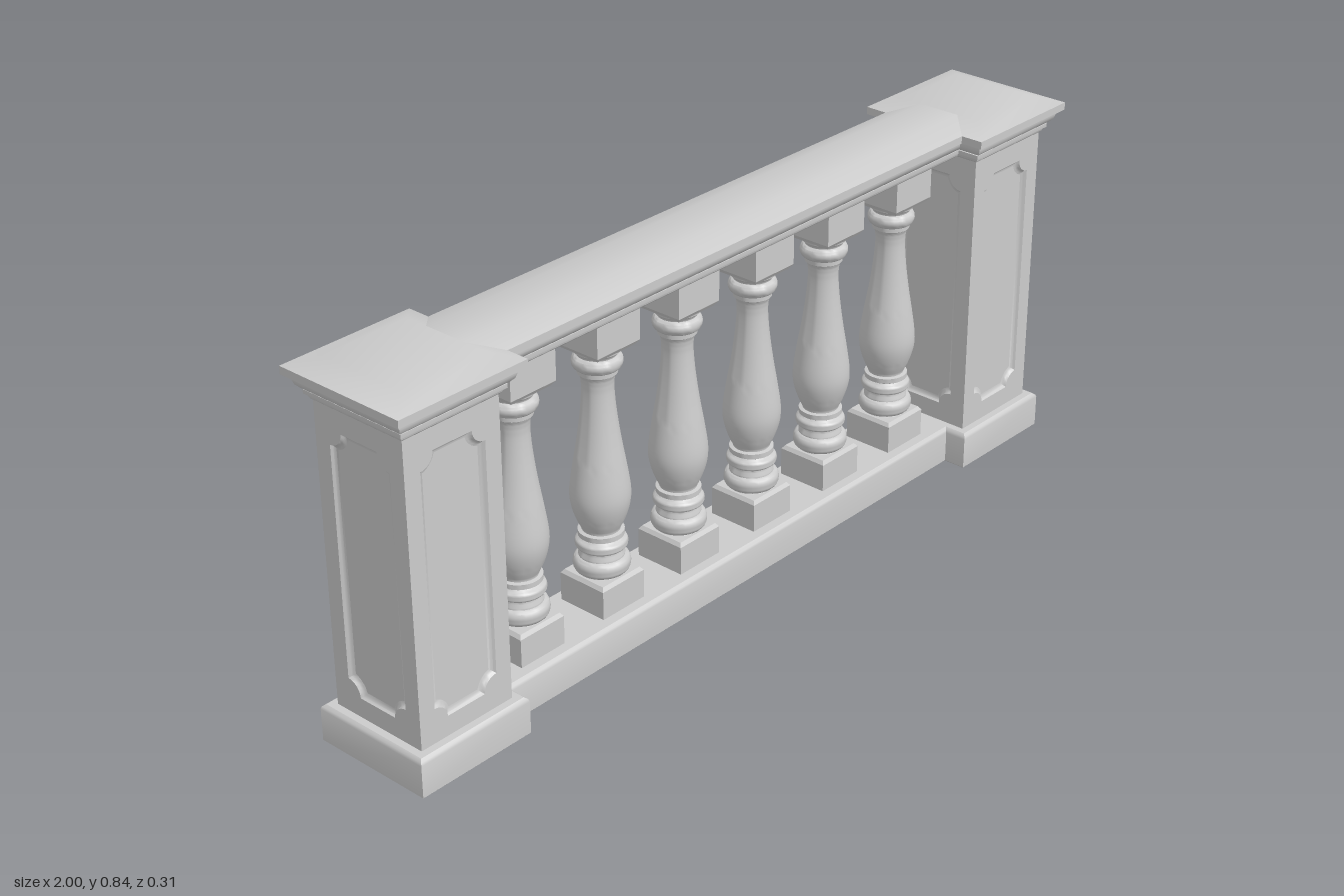
import * as THREE from 'three';
import { toCreasedNormals } from 'three/addons/utils/BufferGeometryUtils.js';

const mat = new THREE.MeshStandardMaterial({ color: 0xcccccc });

function add(parent, name, geometry, x = 0, y = 0, z = 0) {
  const m = new THREE.Mesh(geometry, mat);
  m.name = name;
  m.position.set(x, y, z);
  parent.add(m);
  return m;
}

// Skin a stack of equal-length counter-clockwise loops (each an array of Vector3)
function skin(loops, close, crease = 0.6) {
  const n = loops[0].length, pos = loops.flat().flatMap((p) => [p.x, p.y, p.z]), idx = [];
  for (let j = 0; j < loops.length - 1; j++) {
    for (let i = 0; i < n; i++) {
      const a = j * n + i, b = j * n + ((i + 1) % n), c = a + n, d = b + n;
      idx.push(a, b, d, a, d, c);
    }
  }
  if (close) {
    const t = (loops.length - 1) * n;
    for (let i = 1; i < n - 1; i++) idx.push(0, i + 1, i, t, t + i, t + i + 1);
  }
  const g = new THREE.BufferGeometry();
  g.setAttribute('position', new THREE.Float32BufferAttribute(pos, 3));
  g.setIndex(idx);
  return toCreasedNormals(g, crease);
}

// Rectangular stack: sections are [half x, half z, y] from bottom to top
const stack = (sections) => skin(sections.map(([hx, hz, y]) => [
  new THREE.Vector3(-hx, y, hz), new THREE.Vector3(hx, y, hz),
  new THREE.Vector3(hx, y, -hz), new THREE.Vector3(-hx, y, -hz),
]), true);

// Mouldings as [half width, y]
const SHAFT = 0.118, SHAFT_Y0 = 0.08, SHAFT_Y1 = 0.755;
const CAP = [[0.119, 0.748], [0.123, 0.752], [0.124, 0.757], [0.13, 0.76], [0.13, 0.769], [0.127, 0.77],
  [0.134, 0.773], [0.14, 0.779], [0.143, 0.788], [0.143, 0.799], [0.157, 0.8], [0.157, 0.817], [0.102, 0.836]];
const BASE = [[0.139, 0], [0.142, 0.003], [0.142, 0.075], [0.14, 0.081], [0.134, 0.086]];
const RAIL_INSET = 0.052, PIER_X = 0.843;

// Panel outline with scooped corners, inset by d
function panelLoop(d, depth) {
  const w = 0.08, h = 0.285, cy = 0.415, R = 0.032 + d, a0 = Math.asin(d / R), pts = [], N = 8;
  // corners in counter-clockwise order, each arc curving around its own corner
  [[1, 1], [-1, 1], [-1, -1], [1, -1]].forEach(([sx, sy]) => {
    for (let k = 0; k <= N; k++) {
      const t = sx * sy > 0 ? k / N : 1 - k / N;
      const a = a0 + t * (Math.PI / 2 - 2 * a0);
      pts.push(new THREE.Vector3(sx * (w - R * Math.sin(a)), cy + sy * (h - R * Math.cos(a)), SHAFT - depth));
    }
  });
  return pts;
}

// One side of the shaft: flat surround, moulded edge and sunk field
function shaftFace() {
  const g = new THREE.Group();
  g.name = 'shaftFace';
  const to2 = (loop) => loop.map((p) => new THREE.Vector2(p.x, p.y));
  const loops = [[0, 0], [0.003, 0.005], [0.008, 0.008], [0.012, 0.009]].map(([d, e]) => panelLoop(d, e));
  const surround = new THREE.Shape([
    new THREE.Vector2(-SHAFT, SHAFT_Y0), new THREE.Vector2(SHAFT, SHAFT_Y0),
    new THREE.Vector2(SHAFT, SHAFT_Y1), new THREE.Vector2(-SHAFT, SHAFT_Y1)]);
  surround.holes.push(new THREE.Path(to2(loops[0])));
  add(g, 'panelSurround', new THREE.ShapeGeometry(surround), 0, 0, SHAFT);
  add(g, 'panelMoulding', skin(loops, false));
  add(g, 'panelField', new THREE.ShapeGeometry(new THREE.Shape(to2(loops[3]))), 0, 0, SHAFT - 0.009);
  return g;
}

function pier() {
  const g = new THREE.Group();
  add(g, 'pierBase', stack(BASE.map(([h, y]) => [h, h, y])));
  add(g, 'pierCap', stack(CAP.map(([h, y]) => [h, h, y])));
  for (let i = 0; i < 4; i++) {
    const f = shaftFace();
    f.rotation.y = i * Math.PI / 2;
    g.add(f);
  }
  return g;
}

// Turned profile of the baluster: smooth belly between two groups of rings
function balusterProfile() {
  const v = (a) => a.map(([r, y]) => new THREE.Vector2(r, y));
  const bead = (r, bulge, y0, y1) => Array.from({ length: 9 }, (_, i) => {
    const a = (i / 8) * Math.PI;
    return new THREE.Vector2(r + bulge * Math.sin(a), (y0 + y1) / 2 - (y1 - y0) / 2 * Math.cos(a));
  });
  const belly = new THREE.SplineCurve(v([[0.04, 0.258], [0.052, 0.285], [0.061, 0.318], [0.062, 0.35],
    [0.055, 0.4], [0.045, 0.46], [0.037, 0.52], [0.033, 0.57], [0.034, 0.595], [0.037, 0.607]])).getPoints(32);
  return [
    ...v([[0.054, 0.15]]), ...bead(0.048, 0.012, 0.16, 0.196),
    ...v([[0.048, 0.2], [0.044, 0.206], [0.044, 0.212]]), ...bead(0.046, 0.009, 0.214, 0.236),
    ...v([[0.043, 0.24], [0.048, 0.243], [0.048, 0.254], [0.04, 0.256]]), ...belly,
    ...v([[0.041, 0.61], [0.041, 0.618]]), ...bead(0.041, 0.011, 0.62, 0.65),
    ...v([[0.042, 0.654], [0.049, 0.66], [0.052, 0.68]]),
  ];
}

export function createModel() {
  const model = new THREE.Group();
  model.name = 'balustrade';

  for (const s of [-1, 1]) {
    const p = pier();
    p.name = s > 0 ? 'leftPier' : 'rightPier';
    p.position.x = s * PIER_X;
    model.add(p);
  }

  // Rails run into the piers, their mouldings mitring with the caps and bases
  add(model, 'topRail', stack(CAP.map(([h, y]) => [PIER_X - 0.102, h - RAIL_INSET, y])));
  add(model, 'bottomRail', stack(BASE.map(([h, y]) => [0.74, h - RAIL_INSET, y])));

  const turned = toCreasedNormals(new THREE.LatheGeometry(balusterProfile(), 32), 0.7);
  const foot = stack([[0.06, 0.06, 0.08], [0.06, 0.06, 0.15], [0.054, 0.054, 0.158]]);
  const head = stack([[0.053, 0.053, 0.666], [0.06, 0.06, 0.676], [0.06, 0.06, 0.752]]);
  for (let i = 0; i < 6; i++) {
    const b = new THREE.Group();
    b.name = 'baluster' + (i + 1);
    b.position.x = (i - 2.5) * 0.2325;
    add(b, 'turnedShaft', turned);
    add(b, 'footBlock', foot);
    add(b, 'headBlock', head);
    model.add(b);
  }
  return model;
}
